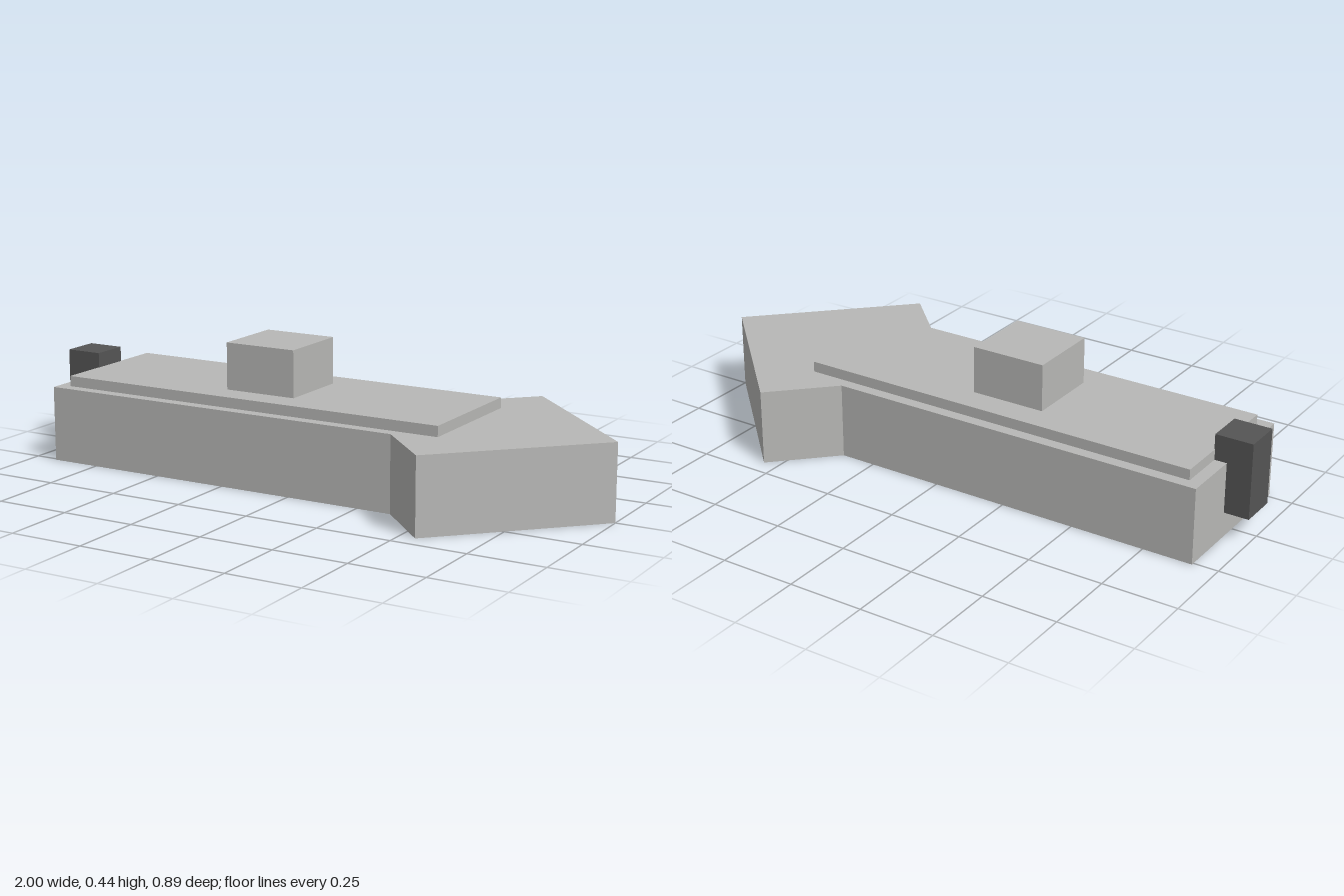
import * as THREE from 'three';

export function createModel() {
  const group = new THREE.Group();
  const grey = new THREE.MeshStandardMaterial({ color: 0xb8b8b6 });
  grey.name = 'light grey';
  const dark = new THREE.MeshStandardMaterial({ color: 0x555555 });
  dark.name = 'dark grey';

  const add = (name, geometry, material) => {
    const mesh = new THREE.Mesh(geometry, material);
    mesh.name = name;
    group.add(mesh);
    return mesh;
  };
  // Box given by its x and y ranges, centred on z = 0
  const block = (name, x0, x1, y0, y1, depth, material) =>
    add(name, new THREE.BoxGeometry(x1 - x0, y1 - y0, depth), material)
      .position.set((x0 + x1) / 2, (y0 + y1) / 2, 0);

  // Arrow-shaped hull, drawn in plan and extruded upwards
  const half = [[-0.917, 0.259], [0.368, 0.259], [0.553, 0.444]];
  const outline = [
    ...half.map(([x, z]) => [x, -z]),
    [1, 0],
    ...half.slice().reverse(),
  ].map(([x, z]) => new THREE.Vector2(x, z));
  const hull = new THREE.ExtrudeGeometry(new THREE.Shape(outline), { depth: 0.252, bevelEnabled: false });
  hull.rotateX(-Math.PI / 2);
  add('hull', hull, grey);

  // Raised deck and cabin
  block('deck', -0.876, 0.509, 0.252, 0.287, 0.441, grey);
  block('cabin', -0.309, -0.057, 0.287, 0.443, 0.252, grey);

  // Motor hung on the stern
  block('motor', -1, -0.874, 0.085, 0.337, 0.126, dark);

  return group;
}
